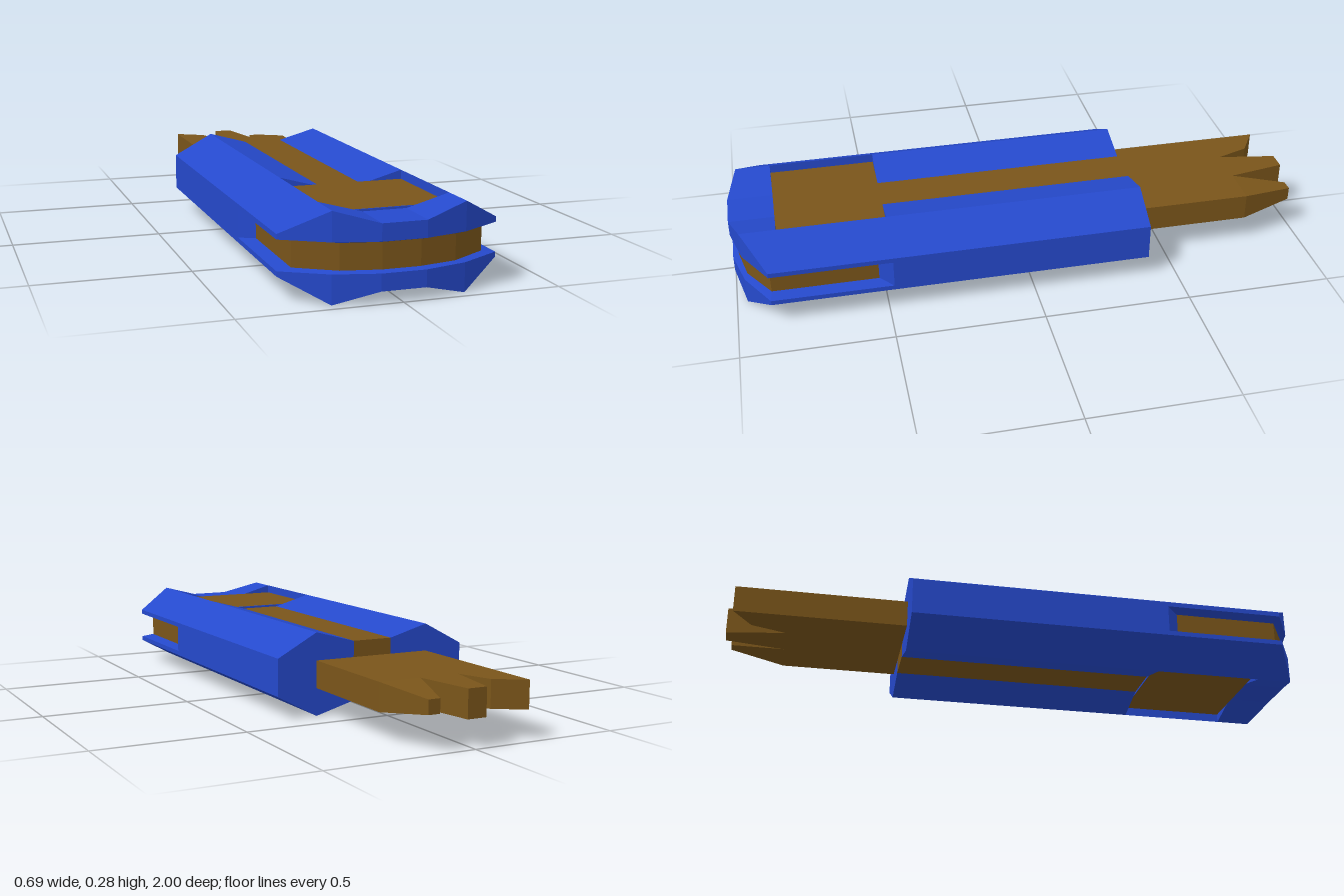
import * as THREE from 'three';

const MID = 0.1375; // height of the horizontal symmetry plane
const blue = new THREE.MeshStandardMaterial({ color: 0x2549cc, flatShading: true, side: THREE.DoubleSide });
const brown = new THREE.MeshStandardMaterial({ color: 0x7a551a, flatShading: true, side: THREE.DoubleSide });

const shapeOf = (pts) => new THREE.Shape(pts.map(([a, b]) => new THREE.Vector2(a, b)));
const mirrorX = (pts) => pts.map(([x, y]) => [-x, y]);
const mirrorY = (pts) => pts.map(([x, y]) => [x, 2 * MID - y]);
// closed plan outline from its +x half
const bothSides = (half) => [...half, ...mirrorX(half).reverse()];

// outline in x,y swept along z; the front end may depend on x
function prism(pts, z0, front) {
  const g = new THREE.ExtrudeGeometry(shapeOf(pts), { depth: 1, bevelEnabled: false });
  const p = g.attributes.position;
  for (let i = 0; i < p.count; i++) p.setZ(i, p.getZ(i) > 0.5 ? front(Math.abs(p.getX(i))) : z0);
  g.computeVertexNormals();
  return g;
}

// outline in x,z swept from y0 up to y1
function slab(pts, y0, y1) {
  const g = new THREE.ExtrudeGeometry(shapeOf(pts), { depth: y1 - y0, bevelEnabled: false });
  return g.rotateX(Math.PI / 2).translate(0, y1, 0);
}

// sloping band between two plan outlines at different heights
function band(outer, yo, inner, yi) {
  const pos = [], n = outer.length;
  for (let i = 0; i < n - 1; i++) {
    const a = [outer[i][0], yo, outer[i][1]], b = [outer[i + 1][0], yo, outer[i + 1][1]];
    const c = [inner[i + 1][0], yi, inner[i + 1][1]], d = [inner[i][0], yi, inner[i][1]];
    pos.push(...a, ...b, ...c, ...a, ...c, ...d);
  }
  const g = new THREE.BufferGeometry();
  g.setAttribute('position', new THREE.Float32BufferAttribute(pos, 3));
  g.computeVertexNormals();
  return g;
}

export function createModel() {
  const model = new THREE.Group();
  const add = (name, geometry, material) => {
    const mesh = new THREE.Mesh(geometry, material);
    mesh.name = name;
    model.add(mesh);
    return mesh;
  };
  const box = (name, w, y0, y1, z0, z1, mat) =>
    add(name, new THREE.BoxGeometry(w, y1 - y0, z1 - z0).translate(0, (y0 + y1) / 2, (z0 + z1) / 2), mat);

  // plan of the rounded front end
  const frontZ = (x) => (x > 0.3 ? 0.885 : x > 0.15 ? 0.965 : 1);

  // rear grip halves
  const half = [[0.07, 0.237], [0.207, 0.275], [0.345, 0.2], [0.345, 0.075], [0.207, 0], [0.07, 0.038]];
  add('gripLeft', prism(half, -0.4, () => 0.48), blue);
  add('gripRight', prism(mirrorX(half), -0.4, () => 0.48), blue);

  // core strip running down the middle of the grip
  box('coreStrip', 0.14, 0.038, 0.237, -0.4, 0.48, brown);

  // outlines around the front slot
  const outer = bothSides([[0.345, 0.48], [0.345, 0.885], [0.207, 0.965], [0.07, 1]]);
  const inner = bothSides([[0.3, 0.525], [0.3, 0.88], [0.18, 0.955], [0.06, 0.98]]);

  // upper and lower front jaws
  const side = [[0.207, 0.184], [0.345, 0.184], [0.345, 0.2], [0.207, 0.275]];
  const shoulder = [[0.07, 0.184], [0.207, 0.184], [0.207, 0.275], [0.07, 0.237]];
  const middle = [[-0.07, 0.184], [0.07, 0.184], [0.07, 0.237], [-0.07, 0.237]];
  for (const [tag, flip] of [['upper', (p) => p], ['lower', mirrorY]]) {
    const at = (y) => (tag === 'upper' ? y : 2 * MID - y);
    for (const [s, mir] of [['Left', (p) => p], ['Right', mirrorX]]) {
      add(`${tag}JawSide${s}`, prism(flip(mir(side)), 0.48, frontZ), blue);
      add(`${tag}JawShoulder${s}`, prism(flip(mir(shoulder)), 0.845, frontZ), blue);
    }
    add(`${tag}JawMiddle`, prism(flip(middle), 0.845, frontZ), blue);
    add(`${tag}SlotLip`, band(outer, at(0.184), inner, at(0.178)), blue);

    // recessed panel with its raised bed
    const [b0, b1] = [at(0.184), at(0.244)].sort((a, b) => a - b);
    box(`${tag}PanelBed`, 0.414, b0, b1, 0.48, 0.845, blue);
    const panel = add(`${tag}Panel`, new THREE.PlaneGeometry(0.414, 0.365), brown);
    panel.rotation.x = tag === 'upper' ? -Math.PI / 2 : Math.PI / 2;
    panel.position.set(0, at(0.245), 0.6625);
  }

  // slanted rear wall of the slot and the core inside it
  add('slotWall', slab(bothSides([[0.345, 0.48], [0.3, 0.525]]), 0.091, 0.184), blue);
  add('slotCore', slab(inner, 0.094, 0.181), brown);

  // broken tang with jagged end
  const tang = [[-0.207, -0.4], [0.207, -0.4], [0.207, -0.8], [0.065, -0.8], [0.03, -1],
    [-0.035, -1], [-0.07, -0.8], [-0.11, -0.915], [-0.207, -0.975]];
  add('tang', slab(tang, 0.092, 0.183), brown);

  // splinter that thins towards its tip
  const splinter = slab([[0.065, -0.8], [0.207, -0.8], [0.155, -0.985], [0.115, -0.985]], 0.092, 0.183);
  const p = splinter.attributes.position;
  for (let i = 0; i < p.count; i++) if (p.getZ(i) < -0.9) p.setY(i, MID + (p.getY(i) - MID) * 0.5);
  splinter.computeVertexNormals();
  add('tangSplinter', splinter, brown);

  return model;
}
